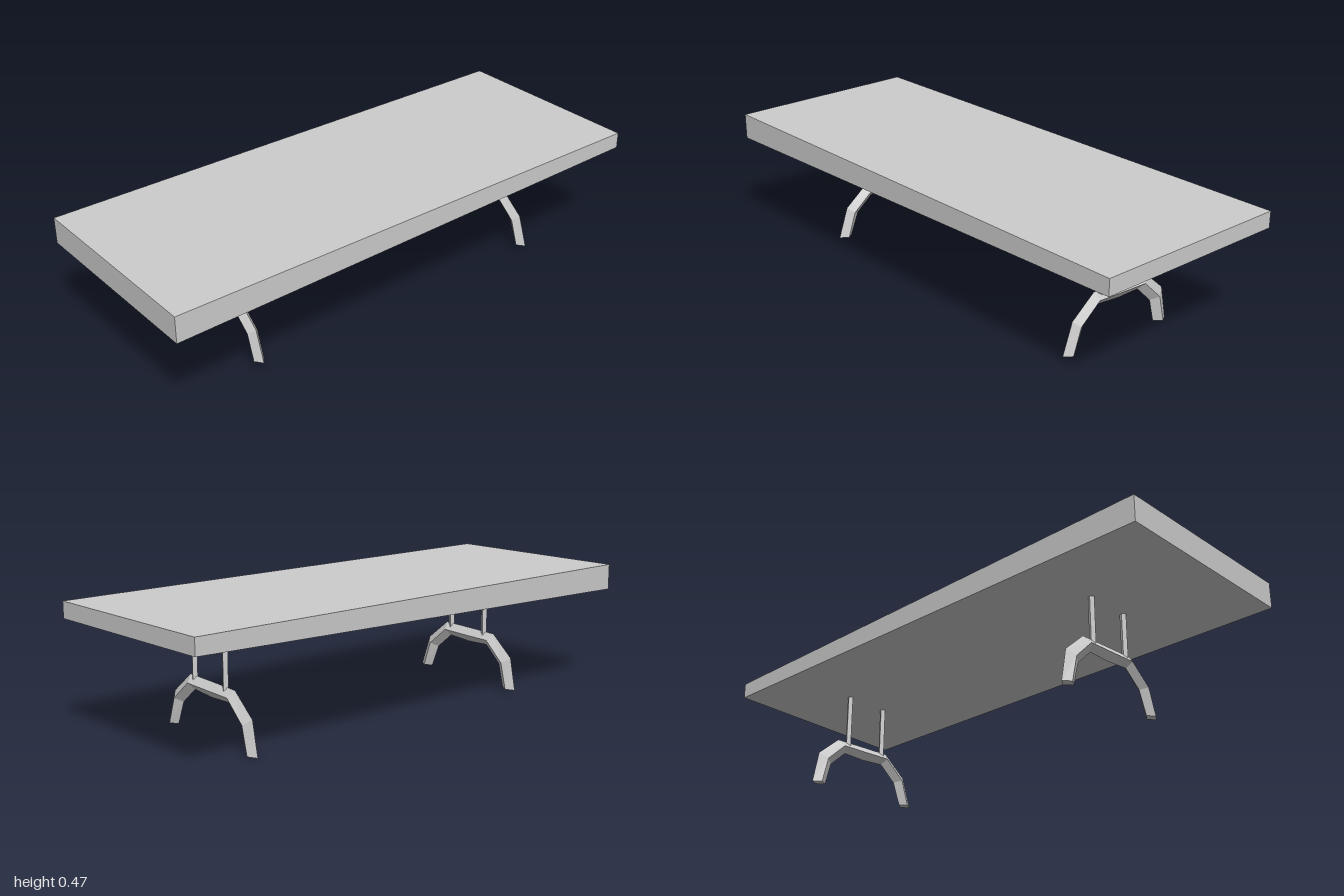
import * as THREE from 'three';

const material = new THREE.MeshStandardMaterial({ color: 0xcccccc, flatShading: true });

function addMesh(parent, name, geometry) {
  const mesh = new THREE.Mesh(geometry, material);
  mesh.name = name;
  parent.add(mesh);
  return mesh;
}

// Underside of the tabletop, thicker towards -x
const underside = (x) => 0.394 + 0.019 * x;

// Arch stations from front foot to back foot: outer, ridge and inner point as [z, y]
const STATIONS = [
  [[0.246, 0.023], [0.215, 0.022], [0.188, 0.021]],
  [[0.205, 0.14], [0.182, 0.12], [0.153, 0.108]],
  [[0.107, 0.218], [0.097, 0.19], [0.083, 0.166]],
  [[-0.018, 0.213], [-0.015, 0.185], [-0.015, 0.157]],
  [[-0.146, 0.207], [-0.127, 0.181], [-0.11, 0.158]],
  [[-0.238, 0.125], [-0.207, 0.104], [-0.177, 0.093]],
  [[-0.263, 0], [-0.232, 0.002], [-0.2, 0.004]],
];

// Bent bar with a diamond cross-section
function archGeometry(halfWidth) {
  const positions = [];
  const index = [];
  for (const [outer, ridge, inner] of STATIONS) {
    positions.push(0, outer[1], outer[0], halfWidth, ridge[1], ridge[0]);
    positions.push(0, inner[1], inner[0], -halfWidth, ridge[1], ridge[0]);
  }
  const last = (STATIONS.length - 1) * 4;
  for (let i = 0; i < last; i += 4) {
    for (let k = 0; k < 4; k++) {
      const a = i + k;
      const b = i + ((k + 1) % 4);
      index.push(a, b, b + 4, a, b + 4, a + 4);
    }
  }
  // Foot ends
  index.push(0, 2, 1, 0, 3, 2);
  index.push(last, last + 1, last + 2, last, last + 2, last + 3);

  const geometry = new THREE.BufferGeometry();
  geometry.setAttribute('position', new THREE.Float32BufferAttribute(positions, 3));
  geometry.setIndex(index);
  geometry.computeVertexNormals();
  return geometry;
}

// Arched foot with two square posts reaching up to the tabletop
function createLeg(name, x, lift, shift) {
  const leg = new THREE.Group();
  leg.name = name;
  leg.position.set(x, lift, shift);
  addMesh(leg, 'archedFoot', archGeometry(0.021));

  const bottom = 0.185;
  const height = underside(x) + 0.002 - lift - bottom;
  for (const [postName, z] of [['frontPost', 0.081], ['backPost', -0.094]]) {
    const post = addMesh(leg, postName, new THREE.CylinderGeometry(0.0122, 0.0122, height, 4));
    post.position.set(0, bottom + height / 2, z);
    post.rotation.y = 0.28;
  }
  return leg;
}

export function createModel() {
  const table = new THREE.Group();
  table.name = 'table';

  // Wedge-shaped slab
  const depth = 0.77;
  const profile = new THREE.Shape([
    new THREE.Vector2(-1, underside(-1)),
    new THREE.Vector2(1, underside(1)),
    new THREE.Vector2(1, 0.474),
    new THREE.Vector2(-1, 0.474),
  ]);
  const slab = new THREE.ExtrudeGeometry(profile, { depth, bevelEnabled: false });
  slab.translate(0, 0, -depth / 2);
  addMesh(table, 'tabletop', slab);

  // The two legs sit slightly out of line with each other
  table.add(createLeg('leftLeg', 0.678, 0, 0));
  table.add(createLeg('rightLeg', -0.586, 0.007, -0.004));
  return table;
}
